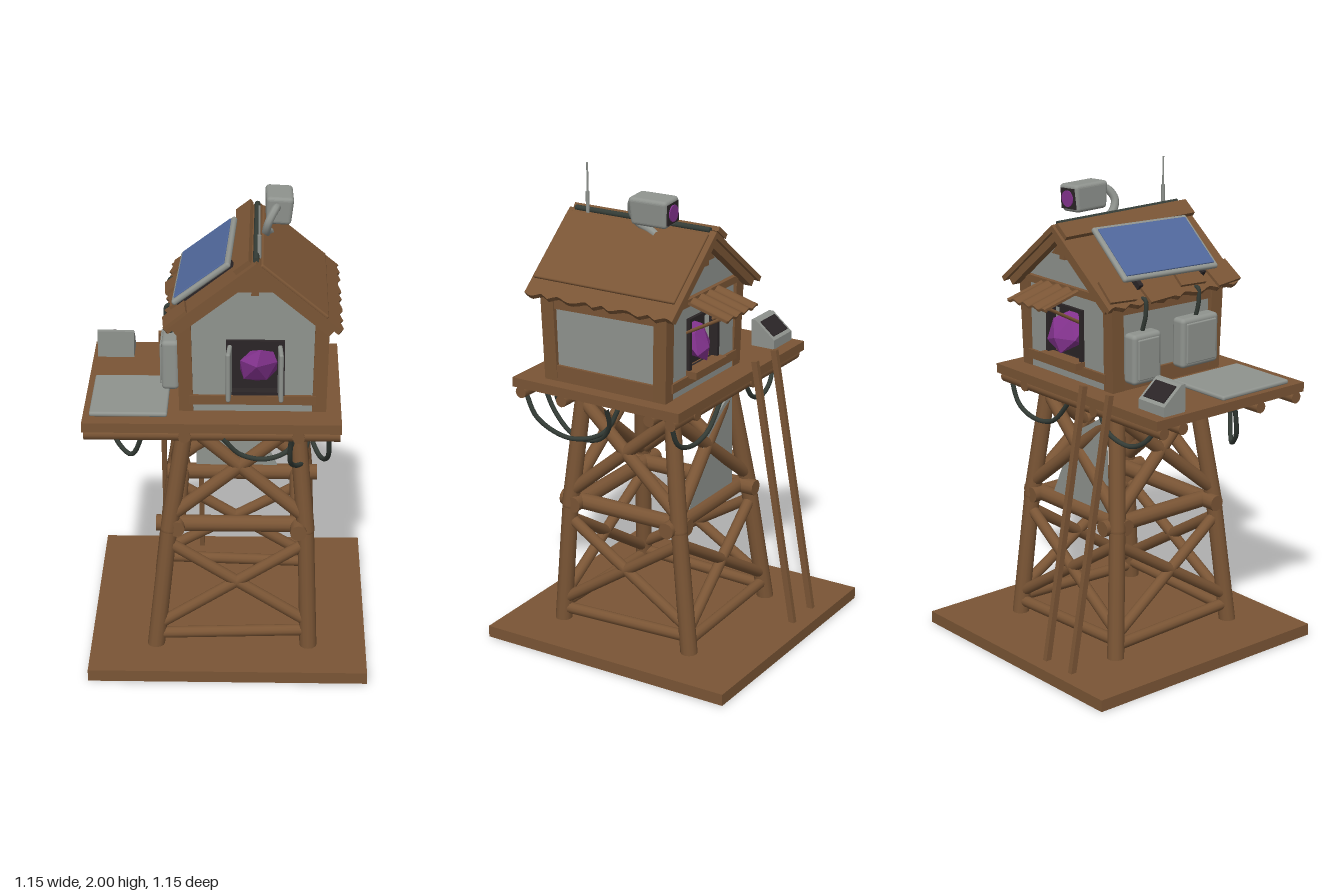
import * as THREE from 'three';
import { RoundedBoxGeometry } from 'three/addons/geometries/RoundedBoxGeometry.js';

const mat = (name, color, side = THREE.FrontSide) => {
  const m = new THREE.MeshStandardMaterial({ color, side });
  m.name = name;
  return m;
};

export function createModel() {
  const root = new THREE.Group();
  root.name = 'watchtower';
  const wood = mat('wood', 0x7a5535);
  const metal = mat('metal', 0x8f938e);
  const blue = mat('solarBlue', 0x50689c);
  const purple = mat('crystalPurple', 0x84338f);
  const cableMat = mat('cableGreen', 0x343c36);
  const dark = mat('darkInterior', 0x2b2527);

  const V = (p) => new THREE.Vector3(...p);
  const add = (name, geo, material, pos = [0, 0, 0], rot = [0, 0, 0], parent = root) => {
    const m = new THREE.Mesh(geo, material);
    m.name = name;
    m.position.set(...pos);
    m.rotation.set(...rot);
    parent.add(m);
    return m;
  };
  const box = (name, size, pos, material = wood, rot, parent) =>
    add(name, new THREE.BoxGeometry(...size), material, pos, rot, parent);
  const round = (name, size, r, pos, material, rot, parent) =>
    add(name, new RoundedBoxGeometry(...size, 3, r), material, pos, rot, parent);
  // Round log between two points
  const log = (name, a, b, r, material = wood, r2 = r) => {
    const d = V(b).sub(V(a));
    const m = add(name, new THREE.CylinderGeometry(r2, r, d.length(), 12), material);
    m.position.copy(V(a)).addScaledVector(d, 0.5);
    m.quaternion.setFromUnitVectors(new THREE.Vector3(0, 1, 0), d.normalize());
    return m;
  };
  const tube = (name, pts, r, material = cableMat) =>
    add(name, new THREE.TubeGeometry(new THREE.CatmullRomCurve3(pts.map(V)), 28, r, 8), material);

  // Base slab
  box('base', [1.15, 0.05, 1.15], [0, 0.025, 0]);

  // Legs: each has a foot, a middle joint and a top
  const legX = { '-1': [-0.305, -0.245, -0.165], 1: [0.335, 0.318, 0.272] };
  const legZ = { '-1': [-0.275, -0.215, -0.15], 1: [0.355, 0.32, 0.27] };
  const levels = [0.03, 0.58, 1.1];
  const legPoint = (sx, sz, y) => {
    const i = y < levels[1] ? 0 : 1;
    const t = (y - levels[i]) / (levels[i + 1] - levels[i]);
    const mix = (a) => a[i] + (a[i + 1] - a[i]) * t;
    return [mix(legX[sx]), y, mix(legZ[sz])];
  };
  for (const sx of [-1, 1]) for (const sz of [-1, 1]) {
    for (let i = 0; i < 2; i++)
      log('leg', legPoint(sx, sz, levels[i]), legPoint(sx, sz, levels[i + 1] - 1e-4), 0.036, wood, 0.034);
    add('legJoint', new THREE.SphereGeometry(0.036, 12, 8), wood, legPoint(sx, sz, 0.58));
  }

  // Belts, low rails and crossed braces on the four tower faces
  const faces = [[[-1, 1], [1, 1]], [[1, 1], [1, -1]], [[1, -1], [-1, -1]], [[-1, -1], [-1, 1]]];
  for (const [a, b] of faces) {
    const A = (y) => legPoint(...a, y), B = (y) => legPoint(...b, y);
    const out = V(B(0.59)).sub(V(A(0.59))).normalize();
    const normal = new THREE.Vector3(-out.z, 0, out.x).multiplyScalar(-0.03);
    const start = V(A(0.59)).addScaledVector(out, -0.055).add(normal);
    const end = V(B(0.59)).addScaledVector(out, 0.03).add(normal);
    log('belt', start.toArray(), end.toArray(), 0.034);
    log('lowRail', A(0.1), B(0.12), 0.024);
    log('upperBrace', A(1.04), B(0.64), 0.028);
    log('upperBrace', A(0.64), B(1.04), 0.028);
    log('lowerBrace', A(0.14), B(0.52), 0.024);
    log('lowerBrace', A(0.52), B(0.16), 0.024);
  }

  // Loose metal sheet on the back of the tower
  const sheet = new THREE.Shape([[-0.15, 0.62], [0.2, 0.62], [0.06, 0.92], [-0.14, 1.04]].map((p) => new THREE.Vector2(...p)));
  add('towerSheet', new THREE.ExtrudeGeometry(sheet, { depth: 0.01, bevelEnabled: false }), metal, [0, 0, -0.19]);

  // Deck and the logs under it
  box('deck', [1.025, 0.04, 0.8], [-0.063, 1.128, 0.107]);
  for (const z of [0.47, 0.27, -0.15, -0.25]) log('deckLog', [-0.57, 1.087, z], [0.445, 1.087, z], 0.025);
  for (const x of [-0.17, 0.28]) log('deckLog', [x, 1.087, -0.28], [x, 1.087, 0.5], 0.025);

  // Ladder rails leaning on the deck
  for (const x of [-0.3, -0.137]) {
    box('ladderRail', [0.022, 1.17, 0.026], [x, 0.615, -0.402], wood, [0.174, 0, 0]);
  }

  // Cabin end walls with window openings
  const wall = new THREE.Shape([[-0.165, 1.145], [0.36, 1.145], [0.37, 1.52], [0.105, 1.75], [-0.175, 1.53]].map((p) => new THREE.Vector2(...p)));
  wall.holes.push(new THREE.Path([[0, 1.23], [0, 1.45], [0.215, 1.45], [0.215, 1.23]].map((p) => new THREE.Vector2(...p))));
  const endWall = new THREE.ExtrudeGeometry(wall, { depth: 0.02, bevelEnabled: false });
  for (const [name, zWall, s] of [['front', 0.37, 1], ['back', -0.18, -1]]) {
    add(name + 'Wall', endWall, metal, [0, 0, zWall - 0.01]);
    box(name + 'WindowDark', [0.23, 0.24, 0.008], [0.107, 1.34, zWall - s * 0.05], dark);
    const crystal = add(name + 'Crystal', new THREE.IcosahedronGeometry(0.1, 0), purple,
      [0.12, 1.34, zWall - s * 0.005], [0.5, 0.3, 0.4]);
    crystal.scale.set(0.88, 1, 0.5);
    for (const x of [0, 0.215]) box('windowJamb', [0.016, 0.235, 0.04], [x, 1.34, zWall + s * 0.005], dark);
    for (const y of [1.23, 1.45]) box('windowRail', [0.225, 0.014, 0.04], [0.107, y, zWall + s * 0.005], dark);
    box(name + 'Sill', [0.5, 0.038, 0.03], [0.097, 1.2, zWall + s * 0.008]);
    // Gable truss
    const gable = new THREE.Shape([[0.02, 1.66], [0.19, 1.66], [0.105, 1.75]].map((p) => new THREE.Vector2(...p)));
    add('gableBoard', new THREE.ExtrudeGeometry(gable, { depth: 0.008, bevelEnabled: false }), wood, [0, 0, s > 0 ? zWall + 0.01 : zWall - 0.018]);
    box('kingPost', [0.03, 0.1, 0.025], [0.105, 1.7, zWall + s * 0.02]);
  }
  box('backCollarBeam', [0.5, 0.03, 0.03], [0.1, 1.53, -0.195]);
  box('backWindowSill', [0.24, 0.03, 0.06], [0.107, 1.225, -0.21]);

  // Side walls, corner posts and side beams
  for (const s of [-1, 1]) {
    const x = s < 0 ? -0.17 : 0.365;
    box('sideWall', [0.018, 0.38, 0.53], [x, 1.335, 0.095], metal);
    for (const z of [0.36, -0.17])
      box('cornerPost', [0.056, 0.39, 0.06], [x, 1.335, z], wood, [z > 0 ? 0.03 : -0.03, 0, s * -0.02]);
    box('sideBottomBeam', [0.045, 0.07, 0.5], [x, 1.18, 0.095]);
    box('sideTopBeam', [0.045, 0.05, 0.56], [x, 1.485, 0.095], wood, [0.02, 0, 0]);
  }

  // Front shutters, swung open
  for (const x of [0.004, 0.207])
    round('shutter', [0.018, 0.21, 0.095], 0.008, [x, 1.335, 0.435], metal, [0.04, x < 0.1 ? -0.06 : 0.06, 0]);

  // Wavy sheets: the rule shifts the eave edge of a thin slab
  const wavySlab = (len, th, width, s) => {
    const g = new THREE.BoxGeometry(len, th, width, 1, 1, 36);
    const p = g.attributes.position;
    for (let i = 0; i < p.count; i++)
      if (p.getX(i) * s > 0) p.setX(i, p.getX(i) + s * 0.009 * Math.sin(p.getZ(i) * 62 + Math.sin(p.getZ(i) * 25)));
    g.computeVertexNormals();
    return g;
  };

  // Roof slopes: local x runs down the slope, y points out of it
  for (const [s, angle, len] of [[-1, 0.661, 0.455], [1, 0.692, 0.435]]) {
    const slope = new THREE.Group();
    slope.name = s < 0 ? 'roofSlopeWithPanel' : 'roofSlopePlain';
    slope.position.set(0.11, 1.8, 0.09);
    slope.rotation.z = -s * angle;
    root.add(slope);
    add('roofSheet', wavySlab(len, 0.022, 0.7, s), wood, [s * len / 2, -0.012, 0], [0, 0, 0], slope);
    for (const z of [0.315, -0.315])
      box('rafter', [len - 0.02, 0.035, 0.04], [s * (len / 2 - 0.01), -0.038, z], wood, [0, 0, 0], slope);
    if (s > 0) {
      round('roofTarp', [0.34, 0.016, 0.67], 0.007, [0.19, 0.003, 0.01], wood, [0, 0, 0], slope);
      continue;
    }
    // Raised ridge board, odd planks and the solar panel
    box('ridgeBoard', [0.075, 0.02, 0.69], [-0.055, 0.018, 0], wood, [0, 0, 0], slope);
    [[-0.4, 0.29, 0.1], [-0.37, 0.12, -0.06], [-0.41, -0.08, 0.05], [-0.38, -0.26, -0.08]].forEach(([x, z, r]) =>
      box('roofPlank', [0.11, 0.014, 0.13], [x, 0.004, z], wood, [0, r, 0], slope));
    round('solarFrame', [0.285, 0.024, 0.49], 0.011, [-0.235, 0.036, 0.022], metal, [0, -0.05, 0], slope);
    round('solarCells', [0.25, 0.008, 0.455], 0.003, [-0.235, 0.049, 0.022], blue, [0, -0.05, 0], slope);
    for (const z of [-0.15, 0.19]) box('solarBracket', [0.28, 0.026, 0.02], [-0.25, 0.012, z], dark, [0, 0, 0], slope);
  }
  log('ridgeCable', [0.108, 1.8, -0.23], [0.108, 1.8, 0.41], 0.012, cableMat);

  // Awning over the back window
  const awning = new THREE.BoxGeometry(0.245, 0.01, 0.19, 30, 1, 1);
  const ap = awning.attributes.position;
  for (let i = 0; i < ap.count; i++) ap.setY(i, ap.getY(i) + 0.006 * Math.sin(ap.getX(i) * 100));
  awning.computeVertexNormals();
  add('awning', awning, wood, [0.122, 1.51, -0.295], [-0.26, 0, 0]);
  for (const x of [0.02, 0.22]) log('awningStrut', [x, 1.4, -0.19], [x, 1.485, -0.35], 0.007);

  // Utility boxes on the side wall
  for (const [z, w, y] of [[-0.07, 0.15, 1.29], [0.215, 0.2, 1.31]]) {
    round('utilityBox', [0.07, 0.21, w], 0.018, [-0.232, y, z], metal);
    round('utilityBoxDoor', [0.012, 0.17, w - 0.04], 0.005, [-0.268, y, z], metal);
    tube('wallCable', [[-0.2, 1.52, z], [-0.245, 1.53, z], [-0.25, 1.47, z], [-0.23, 1.4, z]], 0.009);
  }

  // Metal plate and small console on the deck
  const plate = round('deckPlate', [0.365, 0.02, 0.31], 0.009, [-0.395, 1.156, 0.263], metal, [0, Math.PI / 2, 0]);
  plate.updateMatrix();
  const side = new THREE.Shape([[0.13, 1.15], [0.24, 1.15], [0.24, 1.19], [0.15, 1.265], [0.13, 1.265]].map((p) => new THREE.Vector2(...p)));
  add('console', new THREE.ExtrudeGeometry(side, { depth: 0.152, bevelEnabled: false }), metal, [-0.557, 0, 0], [0, Math.PI / 2, 0]);
  box('consoleScreen', [0.12, 0.006, 0.085], [-0.481, 1.229, -0.196], dark, [-0.695, 0, 0]);

  // Rooftop camera on a bent arm
  const cam = new THREE.Group();
  cam.name = 'camera';
  cam.position.set(0.195, 1.872, -0.02);
  cam.rotation.set(0, 0.03, -0.06);
  root.add(cam);
  const body = new RoundedBoxGeometry(0.105, 0.115, 0.17, 3, 0.016);
  const bp = body.attributes.position;
  for (let i = 0; i < bp.count; i++) {
    const k = 1 + bp.getY(i) * 1.1;
    bp.setX(i, bp.getX(i) * k);
    bp.setZ(i, bp.getZ(i) * (1 + bp.getY(i) * 0.8));
  }
  body.computeVertexNormals();
  add('cameraBody', body, metal, [0, 0, 0], [0, 0, 0], cam);
  box('cameraRim', [0.085, 0.085, 0.008], [0, 0, -0.085], dark, [0, 0, 0], cam);
  add('cameraLens', new THREE.CylinderGeometry(0.034, 0.034, 0.009, 16), purple, [0, 0, -0.089], [Math.PI / 2, 0, 0], cam);
  tube('cameraArm', [[0.19, 1.89, 0.05], [0.18, 1.89, 0.085], [0.155, 1.845, 0.11], [0.145, 1.795, 0.085], [0.15, 1.775, 0.03], [0.16, 1.76, -0.01]], 0.017, metal);

  // Antenna
  log('antennaBase', [0.12, 1.78, 0.345], [0.12, 1.88, 0.345], 0.008, metal);
  log('antennaRod', [0.12, 1.87, 0.345], [0.12, 2, 0.345], 0.004, metal);

  // Cables hanging under the deck edges
  [
    [[-0.49, 1.1, 0.2], [-0.46, 0.95, 0.24], [-0.4, 0.895, 0.27], [-0.36, 0.97, 0.3], [-0.345, 1.11, 0.32]],
    [[-0.48, 1.08, -0.2], [-0.41, 1, -0.22], [-0.33, 0.97, -0.23], [-0.22, 1, -0.24], [-0.16, 1.08, -0.24]],
    [[-0.02, 1.08, 0.49], [0.05, 1, 0.47], [0.15, 0.97, 0.45], [0.24, 1, 0.43], [0.27, 1.08, 0.42]],
    [[0.25, 1.08, 0.5], [0.25, 0.95, 0.44], [0.3, 0.88, 0.3], [0.32, 0.9, 0.17], [0.35, 0.98, 0.1], [0.4, 1.08, 0.08]],
    [[0.4, 1.08, 0.48], [0.4, 0.97, 0.42], [0.37, 0.9, 0.28], [0.33, 0.94, 0.14], [0.3, 1.08, 0.07]],
    [[0.42, 1.08, -0.24], [0.37, 0.98, -0.24], [0.27, 0.94, -0.24], [0.14, 0.96, -0.24], [0.02, 1.08, -0.24]],
  ].forEach((pts) => tube('hangingCable', pts, 0.01));

  return root;
}
